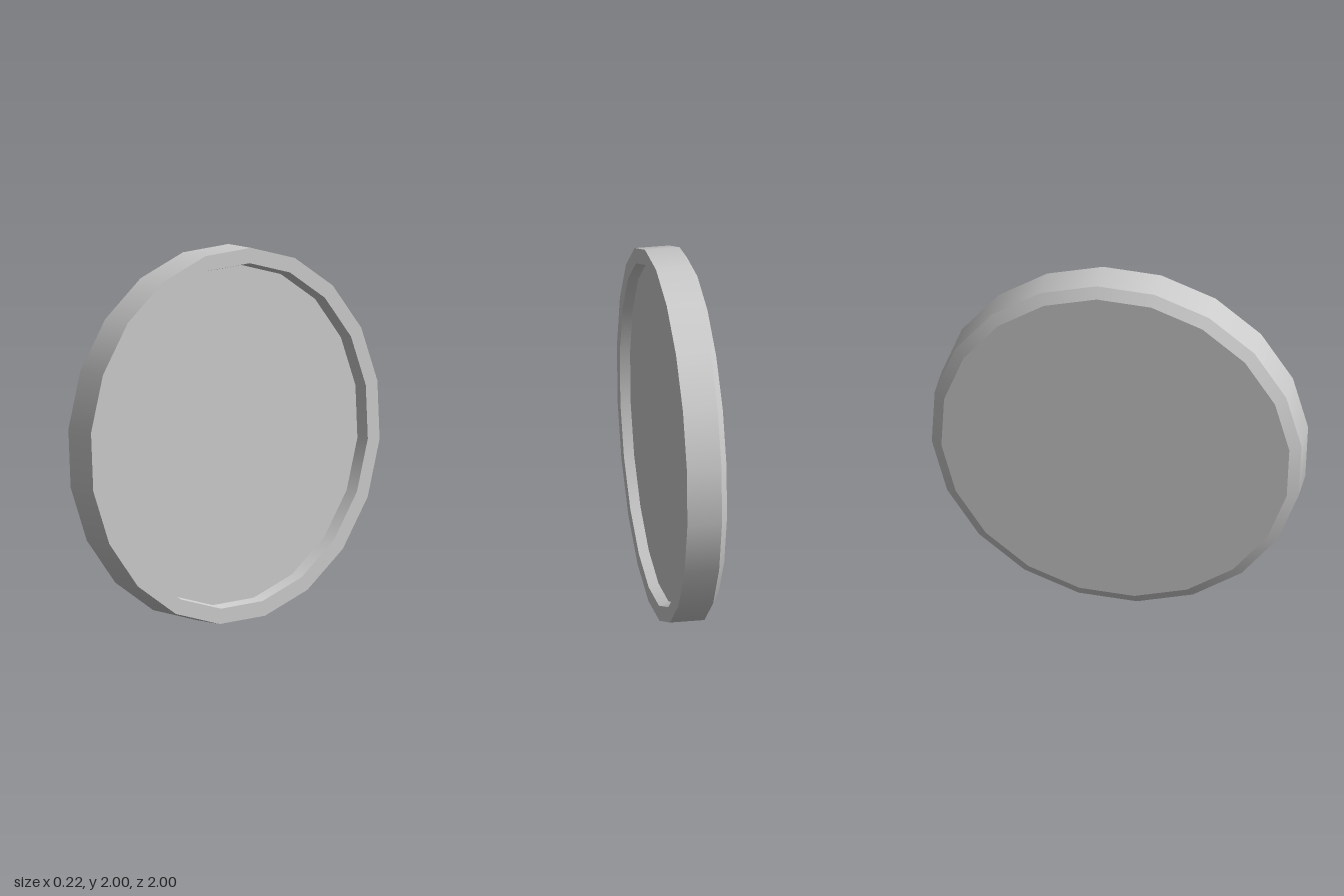
import * as THREE from 'three';

const SIDES = 20;
const PHASE = THREE.MathUtils.degToRad(-6.2);
const FLOOR_X = 0.057;
const FLOOR_SHIFT = 0.012; // the recess floor sits slightly off centre

// Profile corners as [radius, x], from the back centre round to the recess centre
const corners = [
  [0, -0.113], [0.945, -0.113], [1.004, -0.075], [1.004, 0.112],
  [0.922, 0.112], [0.908, FLOOR_X], [0, FLOOR_X],
];
const names = ['backFace', 'backBevel', 'outerRim', 'rimFace', 'recessWall', 'recessFloor'];

export function createModel() {
  const disc = new THREE.Group();
  disc.name = 'rimmedDisc';
  const material = new THREE.MeshStandardMaterial({ color: 0xcccccc });

  // One lathed band per profile segment: smooth around, sharp between bands
  names.forEach((name, i) => {
    const points = [corners[i], corners[i + 1]].map(([r, x]) => new THREE.Vector2(r, x));
    const geometry = new THREE.LatheGeometry(points, SIDES, PHASE);
    geometry.rotateZ(-Math.PI / 2); // axis along x, recess towards +x

    const p = geometry.attributes.position;
    for (let k = 0; k < p.count; k++) {
      if (Math.abs(p.getX(k) - FLOOR_X) < 1e-4) p.setZ(k, p.getZ(k) + FLOOR_SHIFT);
    }

    const mesh = new THREE.Mesh(geometry, material);
    mesh.name = name;
    mesh.position.y = 1;
    disc.add(mesh);
  });
  return disc;
}
